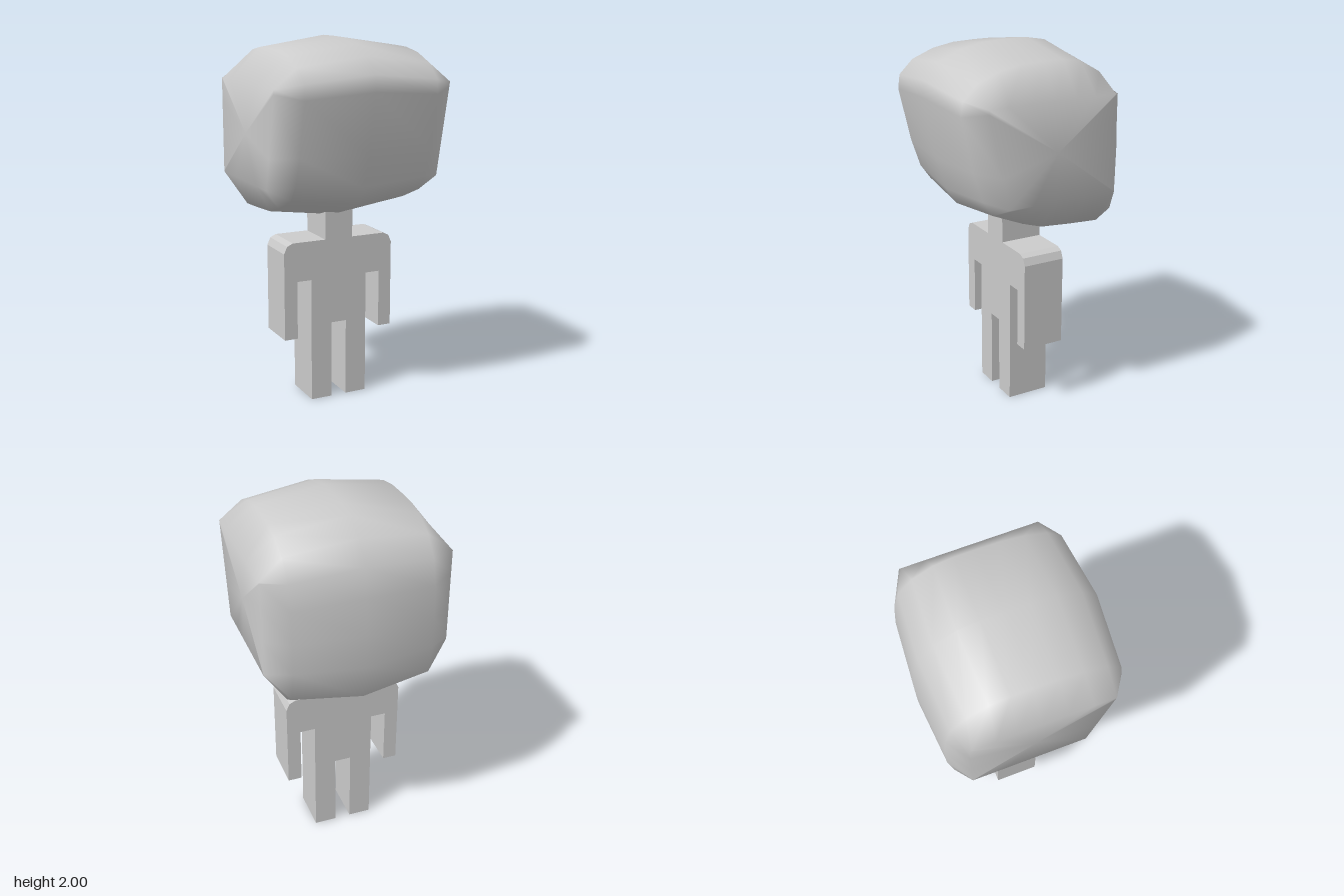
import * as THREE from 'three';
import { mergeVertices } from 'three/addons/utils/BufferGeometryUtils.js';

const material = new THREE.MeshStandardMaterial({ color: 0xcccccc });

// Head outline at the middle, as [z, y], from the top round the back
const headProfile = [
  [0, 2], [-0.12, 2], [-0.23, 1.98], [-0.35, 1.91], [-0.435, 1.8], [-0.47, 1.65],
  [-0.483, 1.45], [-0.48, 1.26], [-0.45, 1.07], [-0.36, 1.01], [-0.18, 1.02],
  [0, 1.035], [0.12, 1.075], [0.3, 1.155], [0.36, 1.245], [0.415, 1.42],
  [0.483, 1.745], [0.472, 1.83], [0.39, 1.915], [0.26, 1.97], [0.13, 1.995],
];

// Each section shrinks the outline; the end one is a leaning rectangle
function headSection(x) {
  const side = Math.abs(x);
  return headProfile.map(([z, y]) => {
    if (side > 0.4) {
      y = THREE.MathUtils.clamp(y, 1.255, 1.77);
      z = THREE.MathUtils.clamp(z, -0.36, 0.37 - 0.22 * (1.77 - y));
    } else if (side > 0) {
      z *= 0.94;
      y = 1.505 + (y - 1.505) * 0.888;
    }
    return [x, y, z];
  });
}

function createHead() {
  const n = headProfile.length;
  const sections = [-0.497, -0.373, 0, 0.373, 0.497].map(headSection);
  const points = sections.flat();
  const index = [];
  for (let i = 0; i < sections.length - 1; i++) {
    for (let j = 0; j < n; j++) {
      const a = i * n + j, b = i * n + (j + 1) % n;
      index.push(a, a + n, b, b, a + n, b + n);
    }
  }
  // flat side faces
  const last = (sections.length - 1) * n;
  const right = points.push([-0.497, 1.51, -0.02]) - 1;
  const left = points.push([0.497, 1.51, -0.02]) - 1;
  for (let j = 0; j < n; j++) {
    const k = (j + 1) % n;
    index.push(right, j, k, left, last + k, last + j);
  }
  const geometry = new THREE.BufferGeometry();
  geometry.setAttribute('position', new THREE.Float32BufferAttribute(points.flat(), 3));
  geometry.setIndex(index);
  const smooth = mergeVertices(geometry);
  smooth.computeVertexNormals();
  const head = new THREE.Mesh(smooth, material);
  head.name = 'head';
  return head;
}

function createBody() {
  // Left half of the figure, from neck to crotch, mirrored for the right
  const half = [
    [0.082, 1.09], [0.082, 0.915], [0.275, 0.915], [0.308, 0.9], [0.326, 0.86],
    [0.326, 0.373], [0.25, 0.373], [0.25, 0.697], [0.167, 0.697],
    [0.167, 0], [0.044, 0], [0.044, 0.436],
  ];
  const mirrored = half.map(([x, y]) => [-x, y]).reverse();
  const shape = new THREE.Shape([...half, ...mirrored].map(([x, y]) => new THREE.Vector2(x, y)));
  const geometry = new THREE.ExtrudeGeometry(shape, { depth: 0.235, bevelEnabled: false });
  geometry.translate(0, 0, -0.165);
  const body = new THREE.Mesh(geometry, material);
  body.name = 'body';
  return body;
}

export function createModel() {
  const model = new THREE.Group();
  model.name = 'bigHeadedFigure';
  model.add(createHead(), createBody());
  return model;
}
